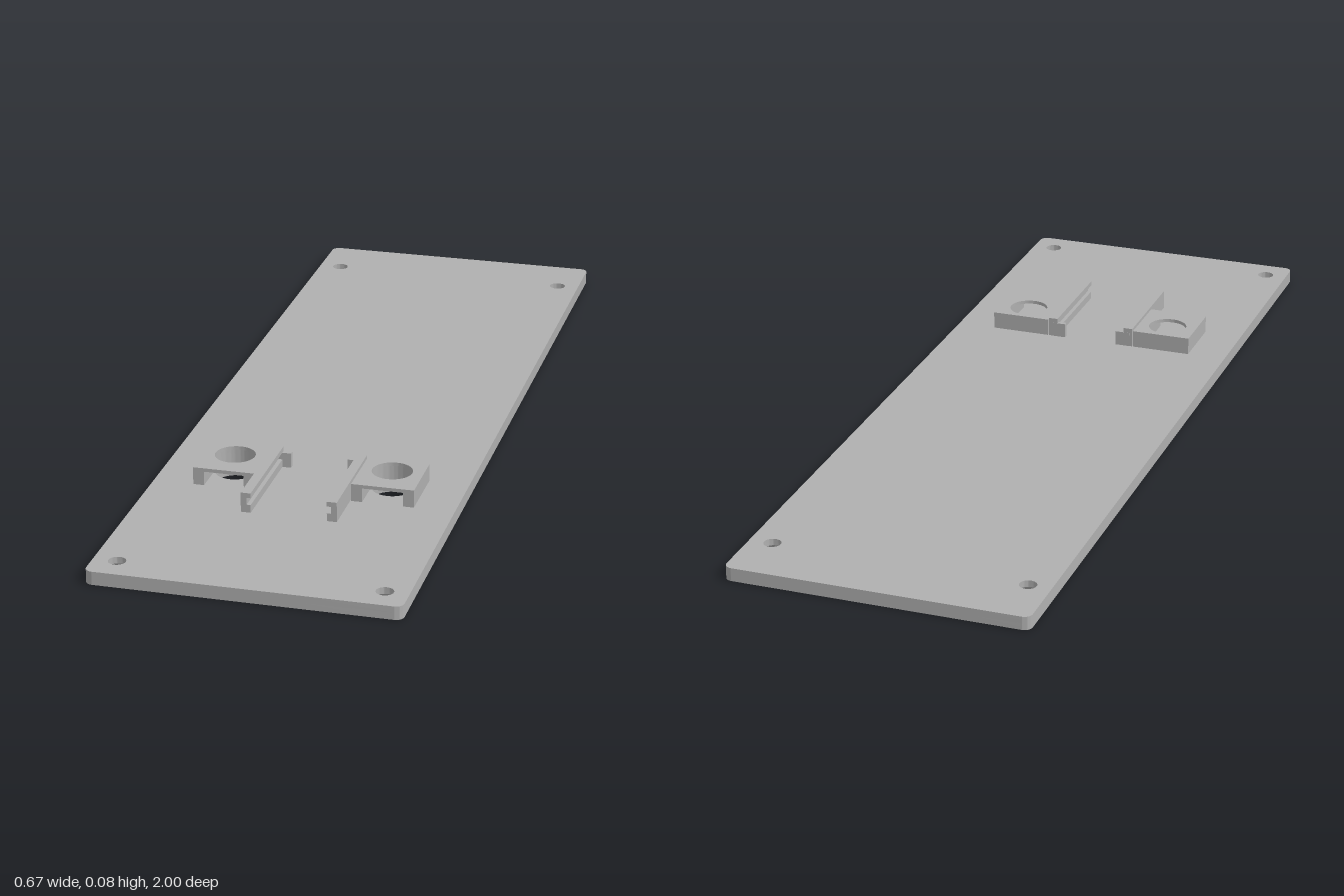
import * as THREE from 'three';
import { toCreasedNormals } from 'three/addons/utils/BufferGeometryUtils.js';

const grey = new THREE.MeshStandardMaterial({ color: 0xb0b0b0 });
grey.name = 'plainGrey';

const PLATE_TOP = 0.03;
const SINK = 0.015; // countersink depth
const HOLE_R = 0.019, SINK_R = 0.031;
const POCKET_X = 0.1775, POCKET_Z = 0.442, POCKET_R = 0.045;

function mesh(name, geometry) {
  const m = new THREE.Mesh(toCreasedNormals(geometry, 0.5), grey);
  m.name = name;
  return m;
}

// Extrude a plan drawn as (x, -z) upward from y0 to y1
function slab(name, shape, y0, y1) {
  const g = new THREE.ExtrudeGeometry(shape, { depth: y1 - y0, bevelEnabled: false, curveSegments: 24 });
  g.rotateX(-Math.PI / 2).translate(0, y0, 0);
  return mesh(name, g);
}

function addHole(shape, x, z, r) {
  const p = new THREE.Path();
  p.absarc(x, -z, r, 0, Math.PI * 2, true);
  shape.holes.push(p);
}

function roundedRect(hx, hy, r) {
  const s = new THREE.Shape();
  s.absarc(hx - r, hy - r, r, 0, Math.PI / 2);
  s.absarc(-hx + r, hy - r, r, Math.PI / 2, Math.PI);
  s.absarc(-hx + r, -hy + r, r, Math.PI, Math.PI * 1.5);
  s.absarc(hx - r, -hy + r, r, Math.PI * 1.5, Math.PI * 2);
  s.closePath();
  return s;
}

export function createModel() {
  const model = new THREE.Group();
  model.name = 'mountingPlate';

  const screws = [];
  for (const x of [-0.285, 0.285]) for (const z of [-0.865, 0.938]) screws.push([x, z]);

  // Base plate in two layers, so the screw holes widen underneath
  const layers = [['plateLower', 0, SINK, SINK_R], ['plateUpper', SINK, PLATE_TOP, HOLE_R]];
  for (const [name, y0, y1, r] of layers) {
    const s = roundedRect(0.337, 1, 0.018);
    for (const [x, z] of screws) addHole(s, x, z, r);
    for (const side of [-1, 1]) addHole(s, side * POCKET_X, POCKET_Z, POCKET_R);
    model.add(slab(name, s, y0, y1));
  }

  // Countersunk cones, facing inward
  for (const [x, z] of screws) {
    const g = new THREE.LatheGeometry([new THREE.Vector2(HOLE_R, SINK), new THREE.Vector2(SINK_R, 0)], 32);
    const cone = mesh('countersink', g);
    cone.position.set(x, 0, z);
    model.add(cone);
  }

  for (const side of [-1, 1]) {
    const bracket = new THREE.Group();
    bracket.name = side > 0 ? 'leftBracket' : 'rightBracket';
    const cx = side * POCKET_X, hw = 0.0695, back = -0.385, front = -0.531;

    // Pocket wall: U-shaped, open at the front
    const u = new THREE.Shape();
    u.moveTo(cx - hw, front);
    u.lineTo(cx - POCKET_R, front);
    u.lineTo(cx - POCKET_R, -POCKET_Z);
    u.absarc(cx, -POCKET_Z, POCKET_R, Math.PI, 0, true);
    u.lineTo(cx + POCKET_R, front);
    u.lineTo(cx + hw, front);
    u.lineTo(cx + hw, back);
    u.lineTo(cx - hw, back);
    u.closePath();
    bracket.add(slab('pocketWall', u, PLATE_TOP, 0.062));

    // Thin pocket roof with a round hole
    const roof = new THREE.Shape([
      [cx - hw, front], [cx + hw, front], [cx + hw, back], [cx - hw, back],
    ].map(([x, y]) => new THREE.Vector2(x, y)));
    addHole(roof, cx, POCKET_Z, POCKET_R);
    bracket.add(slab('pocketRoof', roof, 0.062, 0.07));

    // Guide rail with a groove along its inner face
    const profile = new THREE.Shape([
      [0.106, 0.03], [0.106, 0.075], [0.084, 0.075], [0.084, 0.064],
      [0.093, 0.064], [0.093, 0.048], [0.084, 0.048], [0.084, 0.03],
    ].map(([x, y]) => new THREE.Vector2(side * x, y)));
    const rail = new THREE.ExtrudeGeometry(profile, { depth: 0.258, bevelEnabled: false });
    rail.translate(0, 0, 0.385);
    bracket.add(mesh('guideRail', rail));

    // End stop closing the back of the groove
    const stop = mesh('endStop', new THREE.BoxGeometry(0.036, 0.034, 0.01));
    stop.position.set(side * 0.082, PLATE_TOP + 0.017, 0.3895);
    bracket.add(stop);

    model.add(bracket);
  }
  return model;
}
